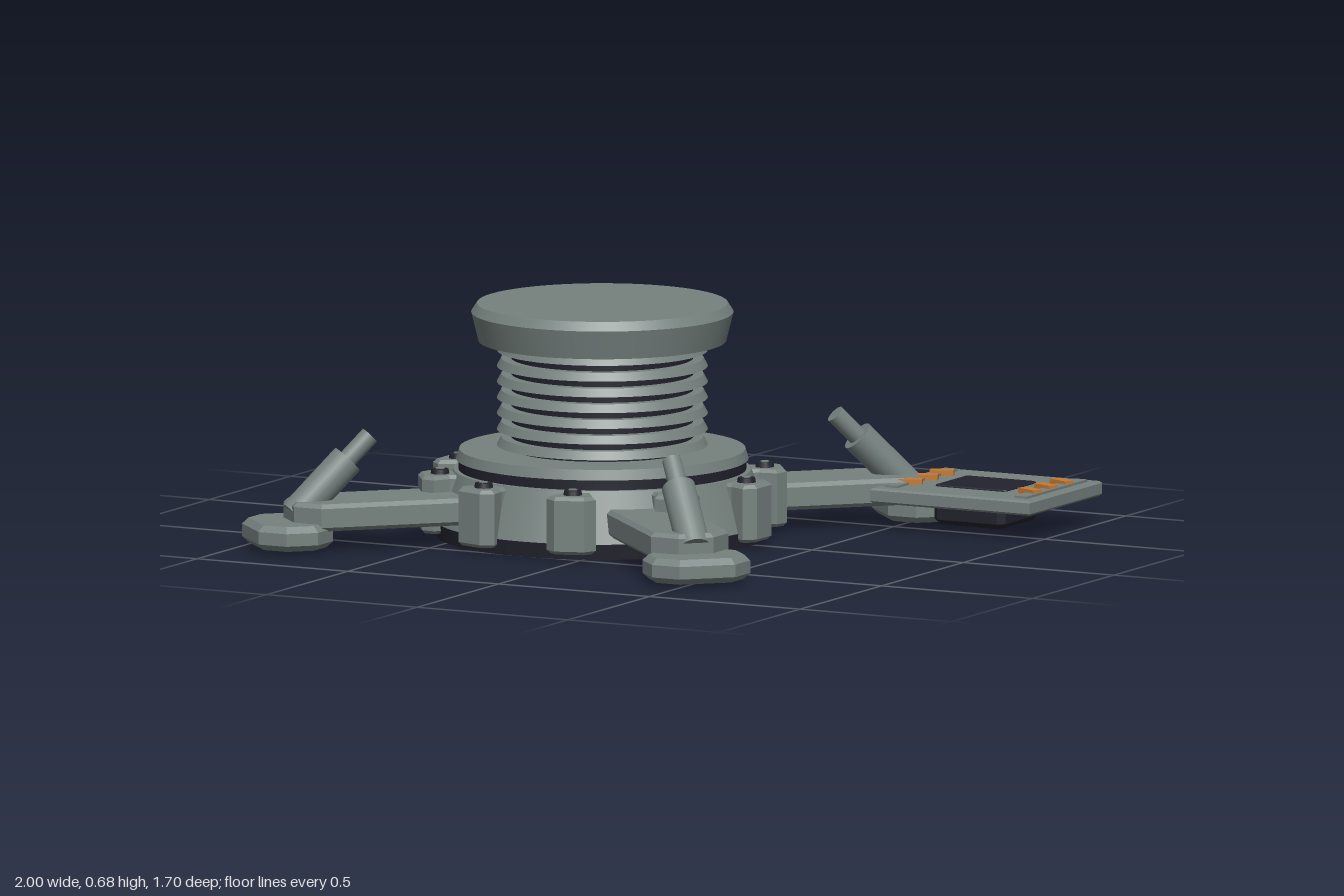
import * as THREE from 'three';

export function createModel() {
  const grey = new THREE.MeshStandardMaterial({ color: 0x76827f });
  const dark = new THREE.MeshStandardMaterial({ color: 0x22222d });
  const orange = new THREE.MeshStandardMaterial({ color: 0xc67a32 });
  grey.name = 'hull grey';
  dark.name = 'dark rubber';
  orange.name = 'copper orange';

  const model = new THREE.Group();
  model.name = 'dockingDevice';

  function add(parent, name, geo, mat, x = 0, y = 0, z = 0) {
    const m = new THREE.Mesh(geo, mat);
    m.name = name;
    m.position.set(x, y, z);
    parent.add(m);
    return m;
  }
  const box = (w, h, d) => new THREE.BoxGeometry(w, h, d);
  const cyl = (rTop, rBottom, h, n = 64) => new THREE.CylinderGeometry(rTop, rBottom, h, n);

  // Flat plate from an outline, standing from y0 to y1 with bevelled rims
  function plate(points, y0, y1, bevel) {
    const shape = new THREE.Shape(points.map(([x, y]) => new THREE.Vector2(x, y)));
    const geo = new THREE.ExtrudeGeometry(shape, {
      depth: y1 - y0 - 2 * bevel, bevelEnabled: true, bevelSegments: 1,
      bevelThickness: bevel, bevelSize: bevel, bevelOffset: -bevel,
    });
    geo.rotateX(-Math.PI / 2);
    geo.translate(0, y0 + bevel, 0);
    return geo;
  }

  // Rectangle outline with cut corners (inner cut a, outer cut b)
  const cutRect = (x0, x1, h, a, b) => [
    [x0 + a, -h], [x1 - b, -h], [x1, -h + b], [x1, h - b],
    [x1 - b, h], [x0 + a, h], [x0, h - a], [x0, -h + a],
  ];

  // Cylinder between two points
  function rod(parent, name, from, to, r) {
    const a = new THREE.Vector3(...from), b = new THREE.Vector3(...to);
    const m = add(parent, name, cyl(r, r, a.distanceTo(b), 24), grey);
    m.position.copy(a).add(b).multiplyScalar(0.5);
    m.quaternion.setFromUnitVectors(new THREE.Vector3(0, 1, 0), b.sub(a).normalize());
  }

  const body = new THREE.Group();
  body.name = 'body';
  body.position.set(-0.18, 0, 0.03);
  model.add(body);

  // Round base, seal ring and flange
  add(body, 'basePad', cyl(0.49, 0.485, 0.045), dark, 0, 0.0225);
  add(body, 'baseDrum', cyl(0.435, 0.488, 0.15), grey, 0, 0.12);
  add(body, 'sealRing', cyl(0.42, 0.42, 0.032), dark, 0, 0.21);
  add(body, 'flange', cyl(0.418, 0.427, 0.03), grey, 0, 0.24);

  // Column with cooling fins
  add(body, 'columnCore', cyl(0.266, 0.266, 0.33), dark, 0, 0.415);
  for (let i = 0; i < 7; i++) {
    add(body, 'fin', cyl(0.295, 0.308, 0.024), grey, 0, 0.278 + i * 0.0465);
  }

  // Cap with bevelled rim
  add(body, 'capSide', cyl(0.383, 0.362, 0.085), grey, 0, 0.6155);
  add(body, 'capTop', cyl(0.366, 0.383, 0.026), grey, 0, 0.671);

  // Ten clamp lugs with bolts
  const lugOutline = [
    [0.38, -0.05], [0.455, -0.05], [0.505, -0.073], [0.537, -0.045],
    [0.537, 0.045], [0.505, 0.073], [0.455, 0.05], [0.38, 0.05],
  ];
  const lugGeo = plate(lugOutline, 0.02, 0.19, 0.01);
  for (let i = 0; i < 10; i++) {
    const lug = new THREE.Group();
    lug.name = 'clampLug';
    lug.rotation.y = (i * Math.PI) / 5;
    body.add(lug);
    add(lug, 'lugBlock', lugGeo, grey);
    add(lug, 'boltHead', cyl(0.025, 0.028, 0.016, 16), dark, 0.478, 0.196);
    add(lug, 'boltCentre', cyl(0.014, 0.014, 0.004, 6), grey, 0.478, 0.205);
  }

  // Four diagonal legs, each with a foot and a slanted strut
  const armGeo = plate(cutRect(0.36, 0.955, 0.118, 0.01, 0.065), 0.063, 0.143, 0.012);
  const footGeo = plate(cutRect(0.845, 1.072, 0.15, 0.065, 0.065), 0.012, 0.085, 0.018);
  for (let i = 0; i < 4; i++) {
    const leg = new THREE.Group();
    leg.name = 'leg';
    leg.rotation.y = Math.PI / 4 + (i * Math.PI) / 2;
    body.add(leg);
    add(leg, 'arm', armGeo, grey);
    add(leg, 'foot', footGeo, grey);
    rod(leg, 'strutSleeve', [0.935, 0.097, 0], [0.776, 0.256, 0], 0.049);
    rod(leg, 'strutPin', [0.79, 0.242, 0], [0.708, 0.324, 0], 0.028);
  }

  // Connector between the two back lugs
  const socket = new THREE.Group();
  socket.name = 'backConnector';
  body.add(socket);
  add(socket, 'socketPlate', box(0.19, 0.11, 0.05), dark, 0, 0.12, -0.455);
  for (const x of [-0.064, 0, 0.064]) {
    add(socket, 'socketTooth', box(0.046, 0.035, 0.03), dark, x, 0.16, -0.487);
    add(socket, 'socketContact', box(0.034, 0.03, 0.012), orange, x, 0.122, -0.485);
  }

  // Circuit panel over the back left foot
  const panel = new THREE.Group();
  panel.name = 'circuitPanel';
  panel.position.set(0.735, 0, -0.631);
  model.add(panel);
  const rect = (w, d) => [[-w, -d], [w, -d], [w, d], [-w, d]];
  add(panel, 'board', plate(rect(0.265, 0.222), 0.08, 0.124, 0.006), grey);
  add(panel, 'chipTop', plate(cutRect(-0.118, 0.118, 0.1, 0.01, 0.01), 0.12, 0.129, 0.003), dark);
  add(panel, 'chipHousing', plate(cutRect(-0.118, 0.118, 0.118, 0.02, 0.02), 0.014, 0.085, 0.015), dark);
  for (const s of [-1, 1]) {
    add(panel, 'rail', box(0.042, 0.008, 0.37), grey, s * 0.215, 0.127, 0);
    for (const z of [-0.097, 0, 0.097]) {
      const pin = add(panel, 'contactPin', box(0.07, 0.016, 0.032), orange, s * 0.198, 0.132, z);
      pin.rotation.y = -s * 0.38;
    }
  }

  return model;
}
